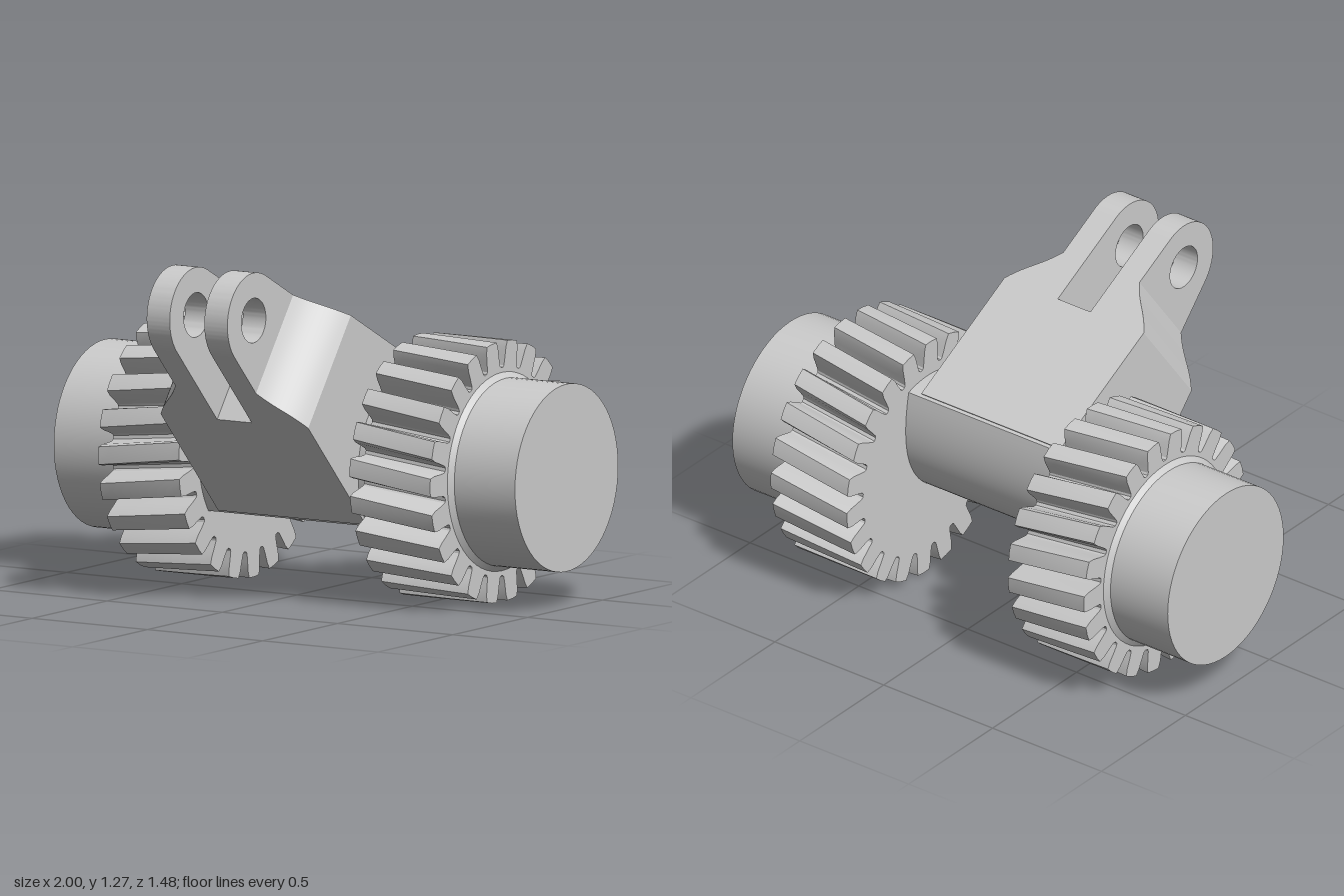
import * as THREE from 'three';
import { toCreasedNormals } from 'three/addons/utils/BufferGeometryUtils.js';

const material = new THREE.MeshStandardMaterial({ color: 0xcccccc });
const AXLE = { y: 0.48, z: -0.26 };
const R = 0.345, PIN_R = 0.175, HOLE_R = 0.082;
const REACH = Math.hypot(0.82, 0.615);      // axle to pin distance
const TAPER = Math.asin((R - PIN_R) / REACH);
const NECK = 0.67, NECK_END = 0.85;         // where the arm narrows to the fork

// half height of the tapering arm at distance s from the axle
const half = s => (R - s * Math.sin(TAPER)) / Math.cos(TAPER);

function mesh(name, geometry, crease = 0.5) {
  const m = new THREE.Mesh(toCreasedNormals(geometry, crease), material);
  m.name = name;
  return m;
}

// extrude a shape between two depths
function slab(shape, z0, z1, options = {}) {
  const g = new THREE.ExtrudeGeometry(shape, { depth: z1 - z0, bevelEnabled: false, curveSegments: 32, ...options });
  return g.translate(0, 0, z0);
}

// helical gear: toothed outline, twisted along its width
function gearGeometry(side) {
  const teeth = 22, width = 0.35, twist = 0.095, deg = Math.PI / 180;
  const flank = [[0.383, -7.2], [0.39, -6.3], [0.42, -5.5], [0.455, -4.9], [0.48, -3.9]];
  const outline = [...flank, [0.481, 0], ...flank.map(([r, a]) => [r, -a]).reverse()];
  const points = [];
  for (let i = 0; i < teeth; i++) {
    for (const [r, a] of outline) {
      const t = a * deg + (i * 2 * Math.PI) / teeth;
      points.push(new THREE.Vector2(r * Math.cos(t), r * Math.sin(t)));
    }
  }
  const g = slab(new THREE.Shape(points), -width / 2, width / 2, { steps: 8 });
  const p = g.attributes.position;
  for (let i = 0; i < p.count; i++) {
    const x = p.getX(i), y = p.getY(i), z = p.getZ(i);
    const a = -twist * (0.5 - (side * z) / width);
    p.setXY(i, x * Math.cos(a) - y * Math.sin(a), x * Math.sin(a) + y * Math.cos(a));
  }
  return g.rotateY(Math.PI / 2).translate(side * 0.545, 0, 0);
}

// shaft end with a small chamfered collar against the gear
function shaftGeometry(side) {
  const profile = [[0, 0.6], [0.365, 0.6], [0.365, 0.72], [R, 0.737], [R, 1], [0, 1]];
  const g = new THREE.LatheGeometry(profile.map(([r, y]) => new THREE.Vector2(r, y)), 64);
  return g.rotateZ(-side * Math.PI / 2);
}

// centre web: round towards the arm, a rounded corner at the back
function webShape() {
  const a = 72 * Math.PI / 180, s = new THREE.Shape();
  const x = R * Math.cos(a), y = R * Math.sin(a);
  s.moveTo(x, -y);
  s.absarc(0, 0, R, -a, a, false);
  s.quadraticCurveTo(-0.27, 0, x, -y);
  return s;
}

function armShape() {
  const s = new THREE.Shape(), start = 0.12;
  s.moveTo(start, -half(start));
  s.lineTo(NECK, -half(NECK));
  s.lineTo(NECK, half(NECK));
  s.lineTo(start, half(start));
  return s;
}

// fork prong with rounded end and pin hole
function prongShape() {
  const a = Math.PI / 2 - TAPER, s = new THREE.Shape(), root = NECK - 0.02;
  s.moveTo(root, half(root));
  s.lineTo(root, -half(root));
  s.lineTo(REACH + PIN_R * Math.cos(a), -PIN_R * Math.sin(a));
  s.absarc(REACH, 0, PIN_R, -a, a, false);
  s.holes.push(new THREE.Path().absarc(REACH, 0, HOLE_R, 0, Math.PI * 2, true));
  return s;
}

// sloped shoulder blending the wide arm into a prong
function shoulderGeometry(side) {
  const g = new THREE.BoxGeometry(1, 1, 1, 10, 1, 1);
  const p = g.attributes.position;
  for (let i = 0; i < p.count; i++) {
    const t = p.getX(i) + 0.5, s = NECK + (NECK_END - NECK) * t;
    const ease = 1 - t + 0.03 * Math.sin(2 * Math.PI * t);
    p.setXYZ(i, s, p.getY(i) * 2 * half(s), side * 0.175 + (p.getZ(i) + side * 0.5) * 0.145 * ease);
  }
  return g.toNonIndexed();
}

export function createModel() {
  const model = new THREE.Group();
  model.name = 'gearedLever';

  const axle = new THREE.Group();
  axle.name = 'axle';
  axle.position.set(0, AXLE.y, AXLE.z);
  model.add(axle);

  // lever frame: local x runs along the arm, local z across it
  const lever = new THREE.Group();
  lever.name = 'lever';
  const c = 0.82 / REACH, n = 0.615 / REACH;
  lever.quaternion.setFromRotationMatrix(new THREE.Matrix4().makeBasis(
    new THREE.Vector3(0, n, c), new THREE.Vector3(0, c, -n), new THREE.Vector3(-1, 0, 0)));
  axle.add(lever);

  lever.add(mesh('centreWeb', slab(webShape(), -0.38, 0.38)));
  lever.add(mesh('arm', slab(armShape(), -0.32, 0.32)));

  for (const side of [1, -1]) {
    const z = side * 0.125;
    axle.add(mesh('gear', gearGeometry(side), 0.4));
    axle.add(mesh('shaftEnd', shaftGeometry(side)));
    lever.add(mesh('forkProng', slab(prongShape(), z - 0.05, z + 0.05)));
    lever.add(mesh('forkShoulder', shoulderGeometry(side)));
  }
  return model;
}
